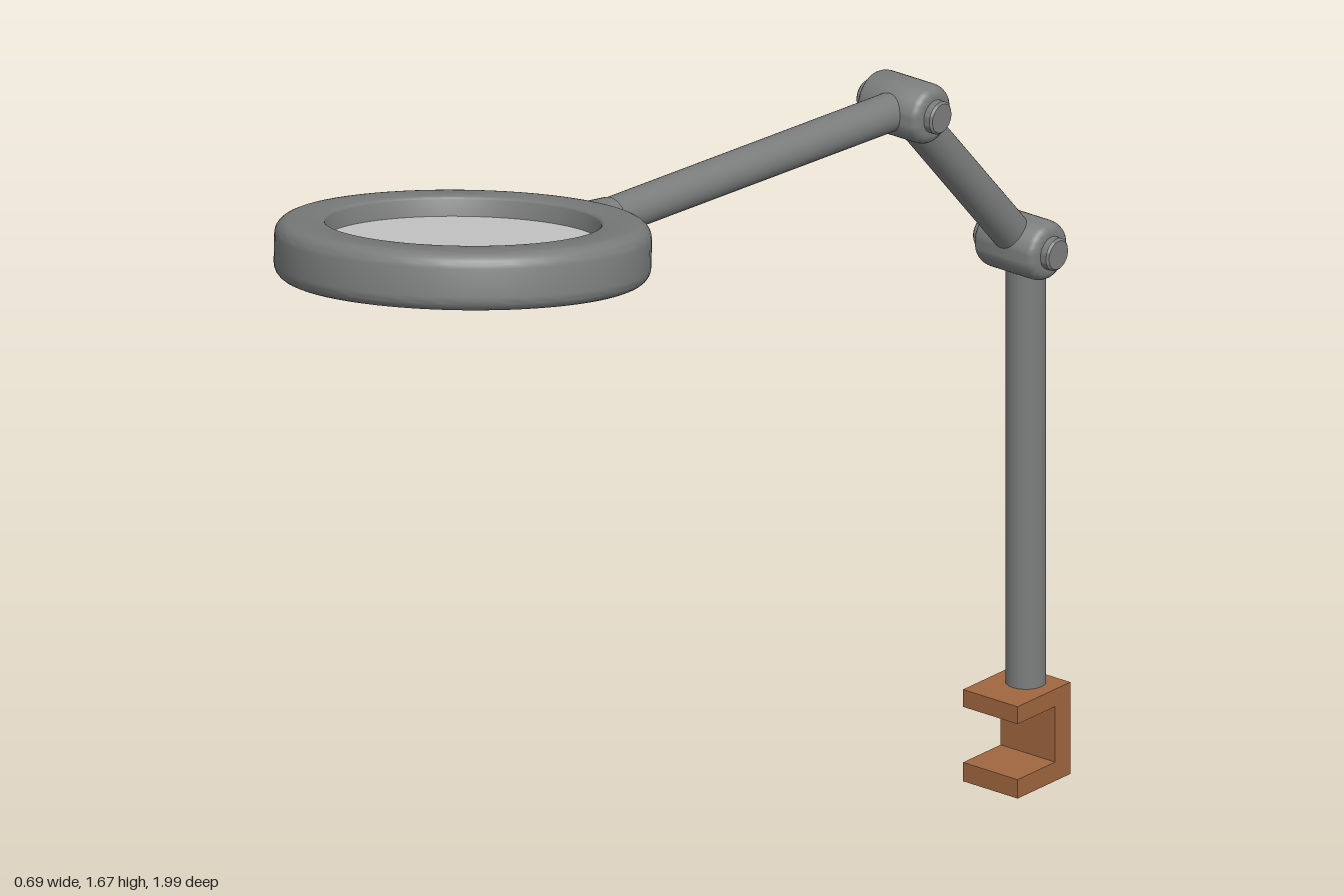
import * as THREE from 'three';
import { toCreasedNormals } from 'three/addons/utils/BufferGeometryUtils.js';

const metal = new THREE.MeshStandardMaterial({ color: 0x7c7e7d });
const glass = new THREE.MeshStandardMaterial({ color: 0xcccccc });
const wood = new THREE.MeshStandardMaterial({ color: 0xa0673f });

const X0 = -0.002;
const v = (x, y, z) => new THREE.Vector3(x, y, z);

function part(name, geometry, material) {
  const mesh = new THREE.Mesh(geometry, material);
  mesh.name = name;
  return mesh;
}

// Round rod from a to b, with a radius at each end
function rod(name, a, b, ra, rb = ra) {
  const dir = b.clone().sub(a);
  const mesh = part(name, new THREE.CylinderGeometry(rb, ra, dir.length(), 32), metal);
  mesh.position.copy(a).add(b).multiplyScalar(0.5);
  mesh.quaternion.setFromUnitVectors(v(0, 1, 0), dir.normalize());
  return mesh;
}

// Smooth revolved solid with sharp edges kept, profile runs from bottom to top
function turned(points, segments) {
  const profile = points.map(([r, y]) => new THREE.Vector2(r, y));
  return toCreasedNormals(new THREE.LatheGeometry(profile, segments), 0.5);
}

// Hinge barrel with rounded shoulders and a bolt cap on each side
function joint(name, position) {
  const half = [[0.056, 0], [0.056, 0.05], [0.0545, 0.058], [0.051, 0.065], [0.045, 0.07],
    [0.038, 0.072], [0.031, 0.072], [0.031, 0.085], [0.027, 0.089], [0, 0.089]];
  const lower = half.slice(1).reverse().map(([r, y]) => [r, -y]);
  const mesh = part(name, turned([...lower, ...half], 40), metal);
  mesh.rotation.z = Math.PI / 2;
  mesh.position.copy(position);
  return mesh;
}

// C-shaped table clamp, open to the front
function clamp() {
  const shape = new THREE.Shape([
    [-1, 0], [-0.85, 0], [-0.85, 0.037], [-0.957, 0.037],
    [-0.957, 0.146], [-0.85, 0.146], [-0.85, 0.18], [-1, 0.18],
  ].map(([z, y]) => new THREE.Vector2(z, y)));
  const geometry = new THREE.ExtrudeGeometry(shape, { depth: 0.128, bevelEnabled: false });
  geometry.translate(0, 0, -0.064);
  geometry.rotateY(-Math.PI / 2);
  const mesh = part('tableClamp', geometry, wood);
  mesh.position.x = X0;
  return mesh;
}

// Tilted magnifier head: rounded ring around a recessed lens
function head() {
  const group = new THREE.Group();
  group.name = 'magnifierHead';
  const inner = 0.25, outer = 0.342, h = 0.054;
  const points = [];
  const corner = (r, y, radius, start) => {
    for (let i = 0; i <= 6; i++) {
      const t = start + (i / 6) * Math.PI / 2;
      points.push([r + radius * Math.cos(t), y + radius * Math.sin(t)]);
    }
  };
  const big = 0.028, small = 0.008;
  corner(outer - big, -h + big, big, -Math.PI / 2);
  corner(outer - big, h - big, big, 0);
  corner(inner + small, h - small, small, Math.PI / 2);
  corner(inner + small, -h + small, small, Math.PI);
  points.push(points[0]);
  group.add(part('headRing', turned(points, 72), metal));
  group.add(part('lens', new THREE.CylinderGeometry(0.252, 0.252, 0.034, 72), glass));
  group.position.set(X0, 1.544, 0.652);
  group.quaternion.setFromUnitVectors(v(0, 1, 0), v(-0.13, 1, -0.18).normalize());
  return group;
}

export function createModel() {
  const model = new THREE.Group();
  model.name = 'magnifierLamp';

  const lowerHinge = v(X0, 1.045, -0.936);
  const upperHinge = v(X0, 1.42, -0.604);
  const armEnd = v(0.007, 1.479, 0.245);

  model.add(clamp());
  model.add(rod('post', v(X0, 0.17, -0.951), v(X0, 1.04, -0.951), 0.037));
  model.add(joint('lowerHinge', lowerHinge));
  model.add(rod('lowerArm', lowerHinge, upperHinge, 0.036));
  model.add(joint('upperHinge', upperHinge));
  model.add(rod('upperArm', upperHinge, armEnd, 0.036));
  model.add(rod('headCollar', armEnd, v(0.007, 1.49, 0.345), 0.038, 0.044));
  model.add(head());
  return model;
}
